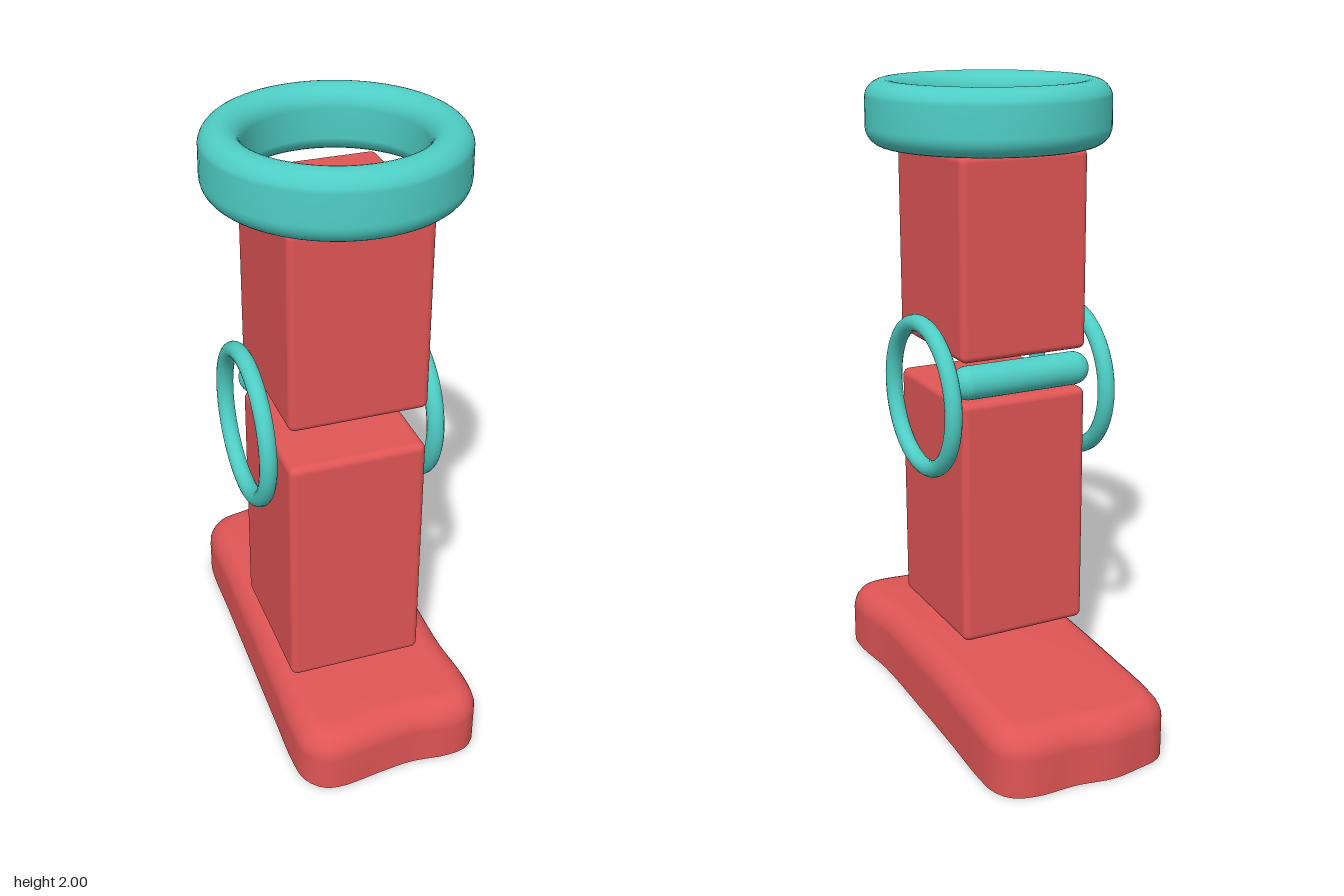
import * as THREE from 'three';
import { RoundedBoxGeometry } from 'three/addons/geometries/RoundedBoxGeometry.js';

const red = new THREE.MeshStandardMaterial({ color: 0xe05555 });
const teal = new THREE.MeshStandardMaterial({ color: 0x4ecdc4 });

// Soft, slightly wavy slab: rows of an outline that rises, rounds over and closes on top
function baseGeometry() {
  const outline = [
    [0.33, 0], [0.328, 0.3], [0.345, 0.48], [0.335, 0.57], [0.29, 0.62], [0.22, 0.632],
    [0.1, 0.62], [0, 0.628], [-0.14, 0.645], [-0.2, 0.635], [-0.25, 0.58], [-0.262, 0.5],
    [-0.26, 0.3], [-0.255, 0], [-0.25, -0.3], [-0.247, -0.5], [-0.235, -0.57], [-0.19, -0.62],
    [-0.12, -0.637], [-0.02, -0.651], [0.1, -0.632], [0.23, -0.63], [0.3, -0.605],
    [0.335, -0.55], [0.342, -0.47], [0.335, -0.25],
  ];
  const curve = new THREE.CatmullRomCurve3(outline.map(([x, z]) => new THREE.Vector3(x, 0, z)), true);
  const n = 120, radius = 0.08, cx = 0.04;
  const topHeight = (x, z) => 0.222 - 0.05 * z * z - 0.12 * Math.max(0, 0.05 - x) ** 2;
  // each row: inset, share of the round-over height, shrink towards the middle
  const rows = [[0, -1, 0], [0, -1, 1], [0, -1, 1]];
  for (let i = 0; i <= 8; i++) {
    const a = (i / 8) * Math.PI / 2;
    rows.push([radius * (1 - Math.cos(a)), Math.sin(a), 1]);
  }
  for (const s of [0.75, 0.5, 0.25, 0]) rows.push([radius, 1, s]);

  const positions = [], indices = [];
  rows.forEach(([inset, rise, shrink], r) => {
    for (let i = 0; i < n; i++) {
      const p = curve.getPointAt(i / n), t = curve.getTangentAt(i / n);
      const x = cx + (p.x - t.z * inset - cx) * shrink;
      const z = (p.z + t.x * inset) * shrink;
      const y = rise < 0 ? 0 : topHeight(x, z) - radius * (1 - rise);
      positions.push(x, y, z);
      // rows 1 and 2 stay unjoined to keep the bottom edge sharp
      if (r === 0 || r === 2) continue;
      const a = (r - 1) * n + i, b = (r - 1) * n + (i + 1) % n;
      indices.push(a, a + n, b, b, a + n, b + n);
    }
  });
  const g = new THREE.BufferGeometry();
  g.setAttribute('position', new THREE.Float32BufferAttribute(positions, 3));
  g.setIndex(indices);
  g.computeVertexNormals();
  return g;
}

// Ring with a tall, round-ended section
function collarGeometry() {
  const pts = [], r = 0.06, straight = 0.04;
  for (let i = 0; i <= 32; i++) {
    const a = -Math.PI / 2 + (i / 32) * Math.PI * 2;
    const lift = i > 0 && i <= 16 && Math.sin(a) > 0 || i > 16 && Math.sin(a) > 0 ? straight : -straight;
    pts.push(new THREE.Vector2(0.32 + r * Math.cos(a), lift + r * Math.sin(a)));
  }
  return new THREE.LatheGeometry(pts, 72);
}

export function createModel() {
  const model = new THREE.Group();
  const add = (name, geometry, material, x, y, z) => {
    const mesh = new THREE.Mesh(geometry, material);
    mesh.name = name;
    mesh.position.set(x, y, z);
    model.add(mesh);
    return mesh;
  };

  add('foot', baseGeometry(), red, 0, 0, 0);

  // Two stacked blocks with a gap between them
  add('lowerBlock', new RoundedBoxGeometry(0.43, 0.8, 0.48, 4, 0.022), red, -0.005, 0.65, 0.14);
  add('upperBlock', new RoundedBoxGeometry(0.43, 0.625, 0.48, 4, 0.022), red, -0.005, 1.49, 0.14);

  add('topCollar', collarGeometry(), teal, 0, 1.9, 0.14);

  // Hinge bar and side rings
  add('hingeBar', new THREE.CapsuleGeometry(0.053, 0.364, 12, 32), teal, -0.005, 1.11, -0.067)
    .rotation.z = Math.PI / 2;
  for (const side of [1, -1]) {
    add(side > 0 ? 'leftRing' : 'rightRing', new THREE.TorusGeometry(0.231, 0.027, 16, 64), teal,
      side * 0.265, 1.04, 0.08).rotation.y = Math.PI / 2;
  }
  return model;
}
